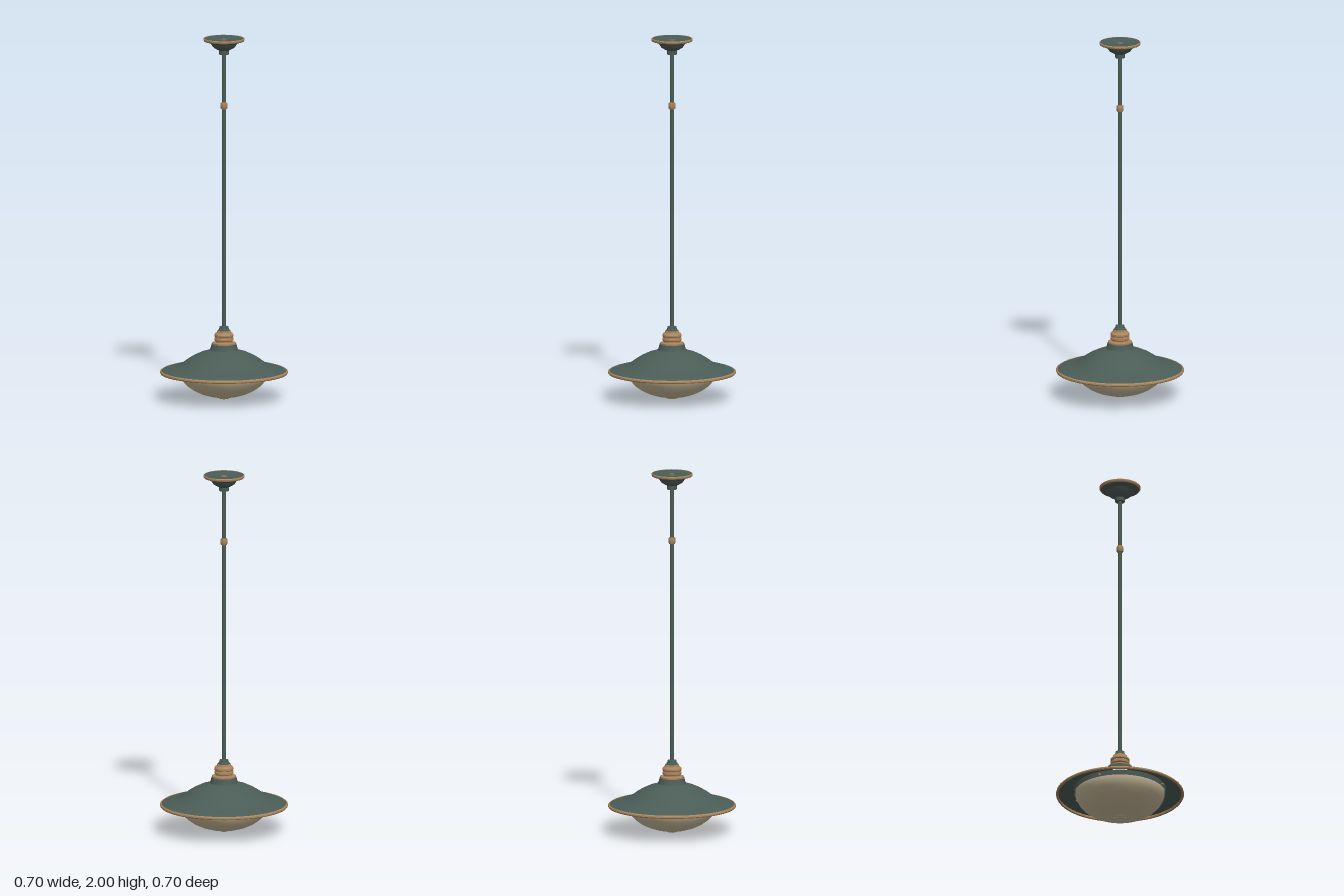
import * as THREE from 'three';
import { toCreasedNormals } from 'three/addons/utils/BufferGeometryUtils.js';

export function createModel() {
  const model = new THREE.Group();
  model.name = 'pendantLamp';

  const mat = (name, color, side = THREE.FrontSide) => {
    const m = new THREE.MeshStandardMaterial({ color, side });
    m.name = name;
    return m;
  };
  const green = mat('darkGreenEnamel', 0x4b5c56, THREE.DoubleSide);
  const brass = mat('agedBrass', 0xa8845c);
  const glass = mat('creamGlass', 0xc6b798, THREE.DoubleSide);

  // Turned part: [radius, height] pairs, running up the outside
  const turn = (name, material, profile, segments = 40) => {
    const pts = profile.map(([r, y]) => new THREE.Vector2(r, y));
    const geo = toCreasedNormals(new THREE.LatheGeometry(pts, segments), 0.6);
    const mesh = new THREE.Mesh(geo, material);
    mesh.name = name;
    model.add(mesh);
    return mesh;
  };

  // Ceiling canopy with its brass edge
  turn('canopy', green, [
    [0, 1.91], [0.026, 1.91], [0.027, 1.932], [0.04, 1.938], [0.058, 1.949],
    [0.068, 1.963], [0.074, 1.972], [0.108, 1.985],
  ], 32);
  turn('canopyRim', brass, [
    [0.104, 1.983], [0.109, 1.984], [0.113, 1.99], [0.113, 1.996], [0.109, 2], [0.107, 1.999],
  ], 32);
  turn('canopyTop', green, [[0.109, 1.999], [0.06, 1.995], [0.015, 1.99], [0, 1.99]], 32);
  turn('canopyCentreRing', brass, [[0.015, 1.988], [0.015, 1.994], [0.012, 1.994], [0.012, 1.988]], 16);
  turn('canopyCentreStud', green, [[0.011, 1.988], [0.011, 1.994], [0, 1.995]], 12);

  // Stem and its coupling
  turn('stem', green, [[0.0115, 0.39], [0.0115, 1.92]], 12);
  turn('stemCoupling', brass, [
    [0.011, 1.606], [0.017, 1.608], [0.02, 1.616], [0.02, 1.634], [0.017, 1.642], [0.011, 1.644],
  ], 16);

  // Socket cap and stepped brass socket
  turn('socketCap', green, [
    [0.032, 0.378], [0.031, 0.386], [0.026, 0.392], [0.025, 0.402], [0.011, 0.406],
  ], 20);
  turn('socket', brass, [
    [0.066, 0.303], [0.066, 0.313], [0.046, 0.317], [0.046, 0.323], [0.053, 0.327],
    [0.053, 0.337], [0.049, 0.34], [0.049, 0.346], [0.053, 0.349], [0.053, 0.358],
    [0.046, 0.366], [0.04, 0.37], [0.038, 0.379], [0.011, 0.381],
  ], 28);

  // Shade: shallow dome flaring into a brim
  turn('shade', green, [
    [0.343, 0.156], [0.315, 0.168], [0.285, 0.176], [0.255, 0.182], [0.23, 0.196],
    [0.2, 0.218], [0.168, 0.238], [0.13, 0.256], [0.095, 0.267], [0.077, 0.274],
    [0.072, 0.288], [0.068, 0.305], [0.046, 0.307],
  ], 48);
  turn('shadeRim', brass, [
    [0.337, 0.152], [0.338, 0.144], [0.347, 0.143], [0.35, 0.148], [0.349, 0.155],
    [0.342, 0.16], [0.337, 0.152],
  ], 48);

  // Glass bowl, its holder and the small tip
  turn('glassBowl', glass, [
    [0, 0.012], [0.04, 0.013], [0.085, 0.02], [0.13, 0.034], [0.17, 0.053],
    [0.203, 0.077], [0.226, 0.103], [0.24, 0.13], [0.244, 0.15], [0.244, 0.172],
  ], 48);
  turn('bowlTip', glass, [
    [0, 0], [0.02, 0.002], [0.032, 0.007], [0.037, 0.014],
  ], 24);
  turn('bowlHolder', green, [[0.25, 0.152], [0.252, 0.18]], 48);

  // Screws gripping the bowl
  for (let i = 0; i < 4; i++) {
    const a = i * Math.PI / 2 + Math.PI / 4;
    const screw = new THREE.Mesh(new THREE.CylinderGeometry(0.006, 0.006, 0.016, 10), brass);
    screw.name = 'bowlScrew';
    screw.position.set(Math.cos(a) * 0.256, 0.16, Math.sin(a) * 0.256);
    screw.rotation.set(0, -a, Math.PI / 2);
    model.add(screw);
  }

  return model;
}
